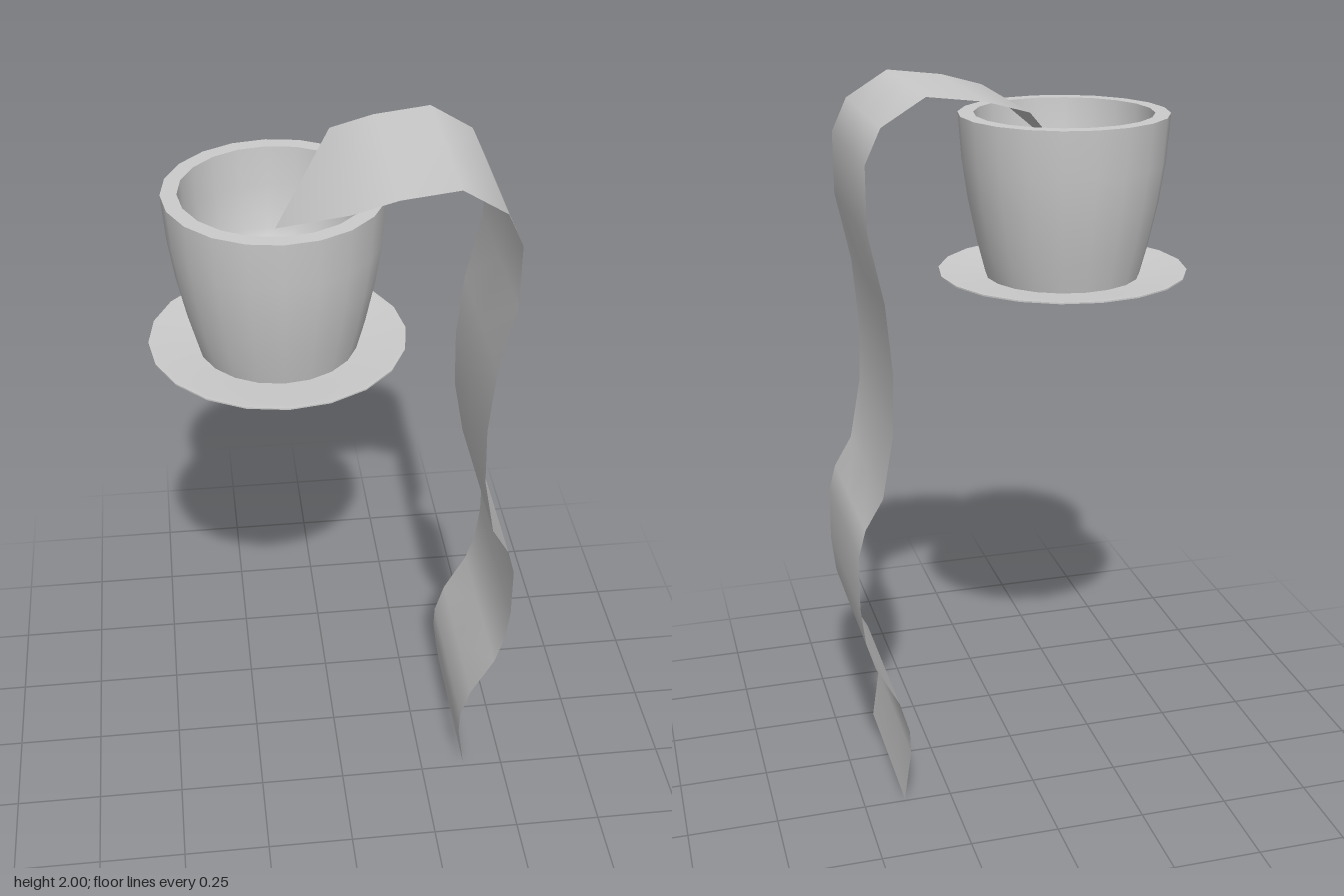
import * as THREE from 'three';
import { toCreasedNormals } from 'three/addons/utils/BufferGeometryUtils.js';

const CUP_X = -0.15;
const HALF_WIDTH = 0.24;

const material = new THREE.MeshStandardMaterial({ color: 0xcccccc });
const thinMaterial = new THREE.MeshStandardMaterial({ color: 0xcccccc, side: THREE.DoubleSide });

// Twenty-sided turned part from [radius, height] pairs, with sharp rims
function turned(name, profile) {
  const points = profile.map(([r, y]) => new THREE.Vector2(r, y));
  const geometry = toCreasedNormals(new THREE.LatheGeometry(points, 20), 0.7);
  const mesh = new THREE.Mesh(geometry, material);
  mesh.name = name;
  mesh.position.x = CUP_X;
  return mesh;
}

// Wavy strip: sweeps an [x, y] path across z, starting from a single pointed tip
function strip(name, path, halfWidth) {
  const positions = [];
  const index = [];
  path.forEach(([x, y], i) => {
    const w = i === 0 ? 0 : halfWidth;
    positions.push(x, y, w, x, y, 0, x, y, -w);
    if (i === 0) return;
    const a = (i - 1) * 3;
    const b = i * 3;
    if (i === 1) {
      index.push(1, b, b + 1, 1, b + 1, b + 2);
      return;
    }
    for (let k = 0; k < 2; k++) {
      index.push(a + k, b + k, b + k + 1, a + k, b + k + 1, a + k + 1);
    }
  });
  const geometry = new THREE.BufferGeometry();
  geometry.setAttribute('position', new THREE.Float32BufferAttribute(positions, 3));
  geometry.setIndex(index);
  geometry.computeVertexNormals();
  const mesh = new THREE.Mesh(geometry, thinMaterial);
  mesh.name = name;
  return mesh;
}

export function createModel() {
  const group = new THREE.Group();
  group.name = 'cupWithRibbon';

  // Shallow saucer with a slightly raised edge
  group.add(turned('saucer', [
    [0, 1.457], [0.25, 1.457], [0.343, 1.473], [0.343, 1.477],
    [0.33, 1.477], [0.24, 1.464], [0, 1.464],
  ]));

  // Thick-walled cup with a flat rim and a rounded bowl inside
  group.add(turned('cup', [
    [0, 1.462], [0.212, 1.462], [0.235, 1.55], [0.26, 1.67], [0.276, 1.78], [0.285, 1.905],
    [0.243, 1.905], [0.238, 1.8], [0.222, 1.68], [0.19, 1.58], [0.12, 1.52], [0, 1.505],
  ]));

  // Ribbon pouring out of the cup and hanging in waves
  group.add(strip('ribbon', [
    [CUP_X, 1.795], [0.015, 1.95], [0.13, 1.982], [0.28, 2], [0.395, 1.93],
    [0.437, 1.84], [0.437, 1.67], [0.397, 1.48], [0.381, 1.29], [0.386, 1.12],
    [0.418, 0.945], [0.468, 0.86], [0.488, 0.785], [0.49, 0.63], [0.478, 0.52],
    [0.453, 0.436], [0.389, 0.315], [0.362, 0.22], [0.36, 0.15], [0.382, 0],
  ], HALF_WIDTH));

  return group;
}
